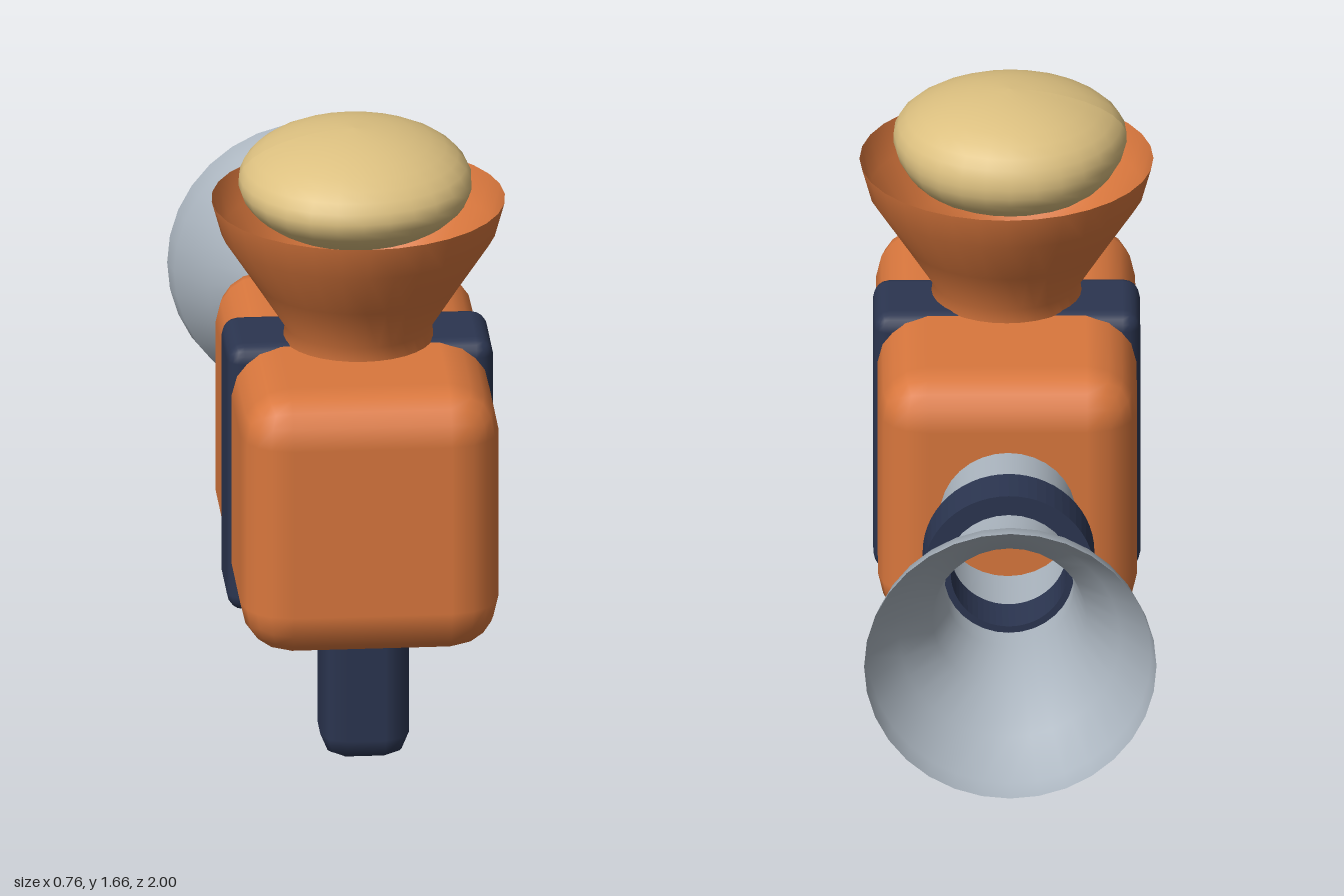
import * as THREE from 'three';
import { RoundedBoxGeometry } from 'three/addons/geometries/RoundedBoxGeometry.js';

const material = (name, color, side = THREE.FrontSide) => {
  const m = new THREE.MeshStandardMaterial({ color, side });
  m.name = name;
  return m;
};

const lathe = (points, sides) =>
  new THREE.LatheGeometry(points.map(([r, y]) => new THREE.Vector2(r, y)), sides);

export function createModel() {
  const orange = material('orange', 0xd9773d, THREE.DoubleSide);
  const navy = material('navy', 0x2b3550);
  const steel = material('steel', 0xa9b3bd, THREE.DoubleSide);
  const cream = material('cream', 0xdcc080);

  const model = new THREE.Group();
  model.name = 'hopperBlaster';
  const add = (name, geometry, mat, x, y, z) => {
    const mesh = new THREE.Mesh(geometry, mat);
    mesh.name = name;
    mesh.position.set(x, y, z);
    model.add(mesh);
    return mesh;
  };

  // Chunky housing with a strap round its middle and a grip below
  add('body', new RoundedBoxGeometry(0.67, 0.72, 1.08, 2, 0.13), orange, 0, 0.725, 0.46);
  add('strap', new RoundedBoxGeometry(0.69, 0.735, 0.265, 2, 0.045), navy, 0, 0.7235, 0.465);
  add('grip', new RoundedBoxGeometry(0.23, 0.5, 0.23, 1, 0.065), navy, 0, 0.25, 0.665);

  // Open funnel on top
  add('hopper', lathe([
    [0.2, 1.05], [0.19, 1.12], [0.27, 1.245], [0.355, 1.375], [0.38, 1.465],
  ], 32), orange, 0, 0, 0.505);

  // Slightly lumpy dough ball resting in the funnel
  const dough = new THREE.SphereGeometry(1, 28, 18);
  const p = dough.attributes.position;
  for (let i = 0; i < p.count; i++) {
    const x = p.getX(i), y = p.getY(i), z = p.getZ(i);
    const k = 1 + 0.025 * Math.sin(3 * x + 1) * Math.cos(2.5 * z) + 0.02 * Math.sin(4 * y + 2 * z);
    p.setXYZ(i, x * k * 0.308, y * k * 0.15, z * k * 0.315);
  }
  dough.computeVertexNormals();
  add('doughBall', dough, cream, -0.01, 1.51, 0.51);

  // Barrel flaring into a bell toward the back
  const barrel = lathe([
    [0.18, -0.1], [0.176, 0.08], [0.17, 0.3], [0.167, 0.53],
    [0.2, 0.71], [0.285, 0.825], [0.365, 0.935], [0.378, 1.0],
  ], 32).rotateX(-Math.PI / 2);
  add('barrel', barrel, steel, 0, 0.7225, 0);

  // Collar round the barrel
  const collar = new THREE.CylinderGeometry(0.222, 0.222, 0.135, 28).rotateX(Math.PI / 2);
  // Trimmed to a ring so the bore stays open
  collar.dispose();
  const ring = new THREE.Shape().absarc(0, 0, 0.222, 0, Math.PI * 2);
  ring.holes.push(new THREE.Path().absarc(0, 0, 0.15, 0, Math.PI * 2, true));
  const ringGeometry = new THREE.ExtrudeGeometry(ring, { depth: 0.135, bevelEnabled: false, curveSegments: 28 });
  // The hole sits just inside the barrel wall, hidden from outside
  ringGeometry.translate(0, 0, -0.44);
  add('collar', ringGeometry, navy, 0, 0.7225, 0);

  return model;
}
